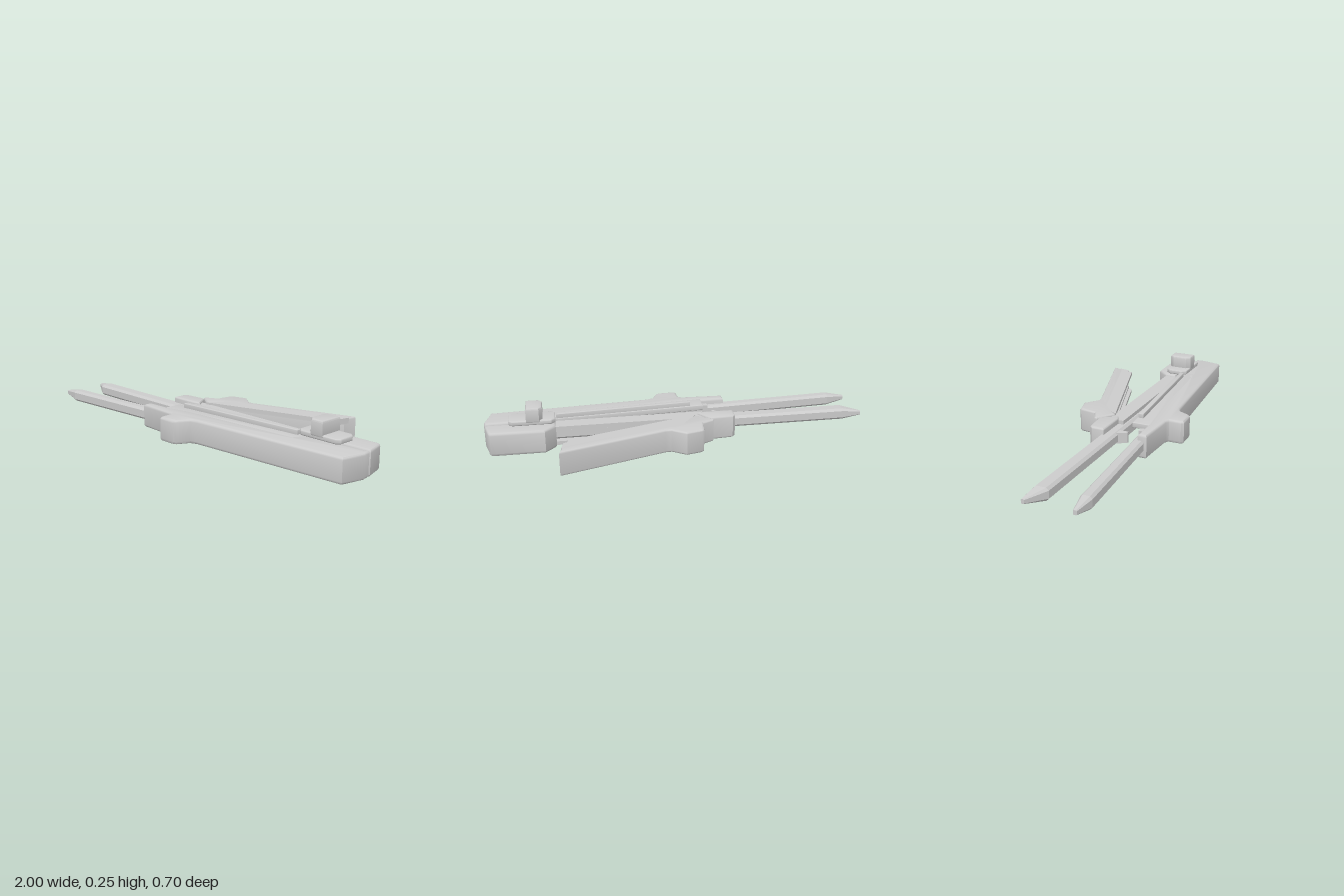
import * as THREE from 'three';
import { toCreasedNormals } from 'three/addons/utils/BufferGeometryUtils.js';
import { ConvexGeometry } from 'three/addons/geometries/ConvexGeometry.js';

const material = new THREE.MeshStandardMaterial({ color: 0xcccccc });

function add(group, name, geometry) {
  const mesh = new THREE.Mesh(geometry, material);
  mesh.name = name;
  group.add(mesh);
  return mesh;
}

// Solid with a plan outline of [x, z] points, standing between two heights
function slab(outline, y0, y1, bevel = 0) {
  const shape = new THREE.Shape(outline.map(([x, z]) => new THREE.Vector2(x, -z)));
  const geometry = new THREE.ExtrudeGeometry(shape, {
    depth: y1 - y0 - 2 * bevel,
    bevelEnabled: bevel > 0,
    bevelThickness: bevel,
    bevelSize: bevel,
    bevelOffset: -bevel,
    bevelSegments: 3,
  });
  geometry.rotateX(-Math.PI / 2).translate(0, y0 + bevel, 0);
  return toCreasedNormals(geometry, 0.6);
}

const rect = (x0, x1, z0, z1) => [[x0, z0], [x1, z0], [x1, z1], [x0, z1]];

// Chamfered bar through sections [x, z0, z1, y0, y1]
function bar(sections) {
  const points = [];
  for (const [x, z0, z1, y0, y1] of sections) {
    const c = Math.min(z1 - z0, y1 - y0) * 0.2;
    for (const [z, s] of [[z0, 1], [z1, -1]]) {
      for (const [y, t] of [[y0, 1], [y1, -1]]) {
        points.push(new THREE.Vector3(x, y + t * c, z));
        points.push(new THREE.Vector3(x, y, z + s * c));
      }
    }
  }
  return new ConvexGeometry(points);
}

export function createModel() {
  const model = new THREE.Group();
  model.name = 'foldingTool';
  const bottom = 0.025, top = 0.149;

  // Front handle: solid outer wall, with two flanges around a channel
  const handle = new THREE.Group();
  handle.name = 'frontHandle';
  model.add(handle);
  add(handle, 'handleWall', slab([
    [-0.28, 0.205], [-0.15, 0.2], [0.0, 0.17], [0.63, 0.125], [0.66, 0.068], [0.99, 0.046],
    [0.995, 0.08], [0.967, 0.2], [0.14, 0.262], [0.105, 0.275], [0.075, 0.335], [0.06, 0.345],
    [-0.03, 0.348], [-0.04, 0.335], [-0.042, 0.272], [-0.06, 0.262], [-0.28, 0.252],
  ], bottom, top, 0.014));
  for (const [y0, y1] of [[bottom, 0.05], [0.12, top]]) {
    add(handle, 'handleFlange', slab([
      [-0.15, 0.12], [0.63, 0.066], [0.7, 0.068], [0.7, 0.15], [0.0, 0.2], [-0.15, 0.215],
    ], y0, y1, 0.004));
  }
  for (const [y0, y1] of [[0, 0.03], [0.14, 0.172]]) {
    add(handle, 'handleRail', slab([
      [-0.08, 0.12], [0.63, 0.068], [0.63, 0.092], [-0.08, 0.148],
    ], y0, y1, 0.003));
  }
  add(handle, 'handleNotchPeg', slab(rect(-0.185, -0.145, 0.168, 0.215), 0.05, 0.125));

  // Two pointed prongs
  add(model, 'frontProng', bar([
    [-0.992, 0.244, 0.262, 0.078, 0.1],
    [-0.89, 0.222, 0.28, 0.057, 0.118],
    [-0.08, 0.165, 0.223, 0.057, 0.118],
  ]));
  add(model, 'rearProng', bar([
    [-1, 0.006, 0.022, 0.078, 0.1],
    [-0.9, 0.006, 0.08, 0.057, 0.118],
    [0.66, 0.006, 0.08, 0.057, 0.118],
  ]));
  add(model, 'prongSpur', slab([
    [-0.24, 0.07], [-0.195, 0.07], [-0.195, 0.12], [-0.21, 0.12],
  ], 0.06, 0.115));

  // Spine strips above and below the rear prong
  for (const [y0, y1] of [[0.038, 0.058], [0.117, 0.138]]) {
    add(model, 'spineStrip', slab(rect(-0.13, 0.7, -0.02, 0.06), y0, y1));
  }

  // Rear collar and end block
  add(model, 'rearCollar', slab([
    [-0.29, -0.035], [-0.275, -0.052], [-0.155, -0.062], [-0.1, 0.02], [-0.13, 0.032], [-0.29, 0.03],
  ], bottom, top, 0.01));
  add(model, 'endBlock', slab([
    [0.635, -0.02], [0.655, -0.045], [0.69, -0.082], [0.955, -0.082], [0.965, -0.07],
    [0.99, 0.034], [0.635, 0.04],
  ], bottom, top, 0.014));
  add(model, 'endBlockCore', slab(rect(0.65, 0.96, 0.02, 0.1), 0.045, 0.13));

  // Sliding thumb button
  const button = new THREE.Group();
  button.name = 'thumbButton';
  model.add(button);
  add(button, 'buttonPlate', slab([
    [0.635, 0.0], [0.655, -0.02], [0.85, -0.02], [0.868, 0.0],
    [0.868, 0.08], [0.85, 0.1], [0.655, 0.1], [0.635, 0.08],
  ], 0.155, 0.18, 0.006));
  add(button, 'buttonStem', slab(rect(0.69, 0.8, 0.01, 0.07), 0.12, 0.16));
  add(button, 'buttonKnob', slab([
    [0.697, 0.0], [0.715, -0.022], [0.78, -0.022], [0.78, 0.102], [0.715, 0.102], [0.697, 0.08],
  ], 0.165, 0.245, 0.01));

  // Open lever: outer wall with thumb stop, and a channel facing the spine
  const lever = new THREE.Group();
  lever.name = 'rearLever';
  model.add(lever);
  add(lever, 'leverWall', slab([
    [0.628, -0.352], [0.61, -0.285], [0.02, -0.098], [-0.08, -0.012], [-0.168, -0.07],
    [-0.165, -0.085], [-0.105, -0.115], [-0.092, -0.2], [-0.08, -0.21], [0.0, -0.23],
    [0.07, -0.18], [0.1, -0.182],
  ], bottom, top, 0.01));
  for (const [y0, y1, lip0, lip1] of [[bottom, 0.052, bottom, 0.042], [0.12, top, 0.13, top]]) {
    add(lever, 'leverFlange', slab([
      [0.618, -0.31], [0.604, -0.248], [0.05, -0.07], [-0.07, -0.02], [0.0, -0.12],
    ], y0, y1));
    add(lever, 'leverLip', slab([
      [0.59, -0.26], [0.58, -0.218], [-0.08, -0.008], [-0.05, -0.06],
    ], lip0, lip1));
  }

  return model;
}
